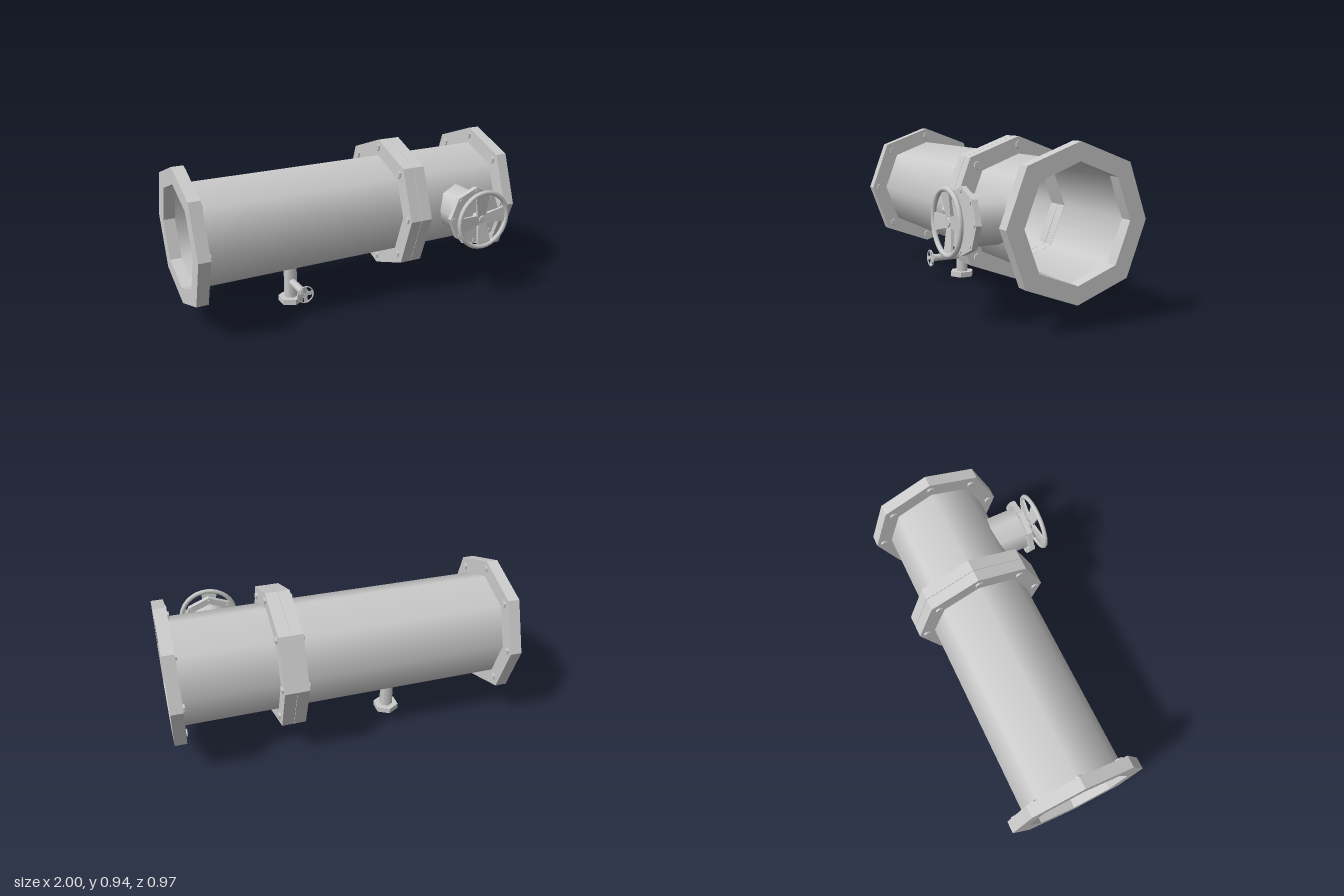
import * as THREE from 'three';

const smooth = new THREE.MeshStandardMaterial({ color: 0xcccccc, side: THREE.DoubleSide });
const flat = new THREE.MeshStandardMaterial({ color: 0xcccccc, flatShading: true });

function add(parent, name, geometry, material = flat) {
  const mesh = new THREE.Mesh(geometry, material);
  mesh.name = name;
  parent.add(mesh);
  return mesh;
}

// Polygon corners; odd corners can sit slightly further out
function corners(n, r, rOdd = r) {
  return Array.from({ length: n }, (_, i) => {
    const a = (i / n) * Math.PI * 2, k = i % 2 ? rOdd : r;
    return new THREE.Vector2(Math.cos(a) * k, Math.sin(a) * k);
  });
}

// Polygonal ring running from z = 0 to z = depth
function ring(outer, inner, depth) {
  const shape = new THREE.Shape(outer);
  shape.holes.push(new THREE.Path(inner));
  return new THREE.ExtrudeGeometry(shape, { depth, bevelEnabled: false });
}

// Cylinder along z between z0 and z1
function rod(r, z0, z1, sides, open = false) {
  return new THREE.CylinderGeometry(r, r, z1 - z0, sides, 1, open)
    .rotateX(Math.PI / 2).translate(0, 0, (z0 + z1) / 2);
}

// Eight bolts on a circle around z
function bolts(parent, circle, r, z0, z1) {
  for (const p of corners(8, circle)) {
    add(parent, 'bolt', rod(r, z0, z1, 6)).position.set(p.x, p.y, 0);
  }
}

// Length of pipe along z with a flange and bolts at each end
function pipeSection(length) {
  const g = new THREE.Group();
  const tube = rod(0.306, 0.01, length - 0.01, 8, true);
  const p = tube.attributes.position;
  for (let i = 0; i < p.count; i++) {
    const x = p.getX(i), y = p.getY(i);
    if (Math.min(Math.abs(x), Math.abs(y)) > 0.1) p.setXY(i, x * 1.025, y * 1.025);
  }
  add(g, 'pipeWall', tube, smooth);
  const depth = 0.068;
  for (const end of [0, 1]) {
    const flange = add(g, 'pipeFlange', ring(corners(8, 0.402, 0.415), corners(8, 0.305, 0.313), depth));
    flange.position.z = end ? length - depth : 0;
    const face = end ? length - depth : depth;
    bolts(g, 0.355, 0.023, face - 0.011, face + 0.011);
  }
  return g;
}

// Handwheel facing +z, rim centred on the origin, hub set back
function handwheel() {
  const g = new THREE.Group();
  add(g, 'wheelRim', new THREE.TorusGeometry(0.166, 0.014, 8, 32), smooth);
  for (let i = 0; i < 4; i++) {
    // Spoke flares outwards and thins towards the rim
    const spoke = new THREE.BoxGeometry(1, 1, 1);
    const p = spoke.attributes.position;
    for (let k = 0; k < p.count; k++) {
      const outer = p.getY(k) > 0, front = p.getZ(k) > 0;
      const half = outer ? 0.048 : 0.026;
      p.setXYZ(k, Math.sign(p.getX(k)) * half, outer ? 0.162 : 0.01,
        outer ? (front ? 0.004 : -0.006) : (front ? -0.012 : -0.032));
    }
    add(g, 'wheelSpoke', spoke).rotation.z = i * Math.PI / 2 + 0.1;
  }
  add(g, 'wheelHub', new THREE.CylinderGeometry(0.022, 0.04, 0.03, 8)
    .rotateX(Math.PI / 2).translate(0, 0, -0.02));
  return g;
}

export function createModel() {
  const model = new THREE.Group();
  const axisY = 0.537, axisZ = -0.08;

  // Two flanged pipe lengths bolted end to end
  for (const [name, x0, x1] of [['longPipe', -1, 0.33], ['shortPipe', 0.332, 1]]) {
    const pipe = pipeSection(x1 - x0);
    pipe.name = name;
    pipe.rotation.y = Math.PI / 2;
    pipe.position.set(x0, axisY, axisZ);
    model.add(pipe);
  }

  // Main valve on the front of the short pipe
  const valve = new THREE.Group();
  valve.name = 'mainValve';
  valve.position.set(0.66, axisY, 0);
  model.add(valve);
  const neck = rod(0.135, 0, 0.365, 8, true);
  const np = neck.attributes.position;
  for (let i = 0; i < np.count; i++) {
    // Inner end follows the pipe wall
    if (np.getZ(i) < 0.1) np.setZ(i, 0.215 - 0.36 * Math.abs(np.getY(i)));
  }
  add(valve, 'valveNeck', neck, smooth);
  add(valve, 'valveFlange', rod(0.175, 0.362, 0.392, 8));
  bolts(valve, 0.153, 0.012, 0.356, 0.398);
  add(valve, 'valveStem', rod(0.023, 0.385, 0.45, 8), smooth);
  const bigWheel = handwheel();
  bigWheel.name = 'mainHandwheel';
  bigWheel.position.z = 0.469;
  valve.add(bigWheel);

  // Drain pipe below the long pipe, with its own small valve
  const drain = new THREE.Group();
  drain.name = 'drain';
  drain.position.set(-0.338, 0, axisZ);
  model.add(drain);
  add(drain, 'drainPipe', new THREE.CylinderGeometry(0.04, 0.04, 0.25, 6, 1, true)
    .translate(0, 0.145, 0), smooth);
  add(drain, 'drainFlange', ring(corners(6, 0.077), corners(6, 0.04), 0.033)
    .rotateZ(Math.PI / 2).rotateX(-Math.PI / 2));
  const tap = new THREE.Group();
  tap.name = 'drainValve';
  tap.position.y = 0.135;
  drain.add(tap);
  add(tap, 'tapStem', rod(0.023, 0, 0.205, 8), smooth);
  add(tap, 'tapCollar', rod(0.03, 0.203, 0.208, 8));
  add(tap, 'tapSpindle', rod(0.008, 0.2, 0.218, 8), smooth);
  const smallWheel = handwheel();
  smallWheel.name = 'drainHandwheel';
  smallWheel.scale.setScalar(0.3);
  smallWheel.position.z = 0.222;
  tap.add(smallWheel);

  return model;
}
